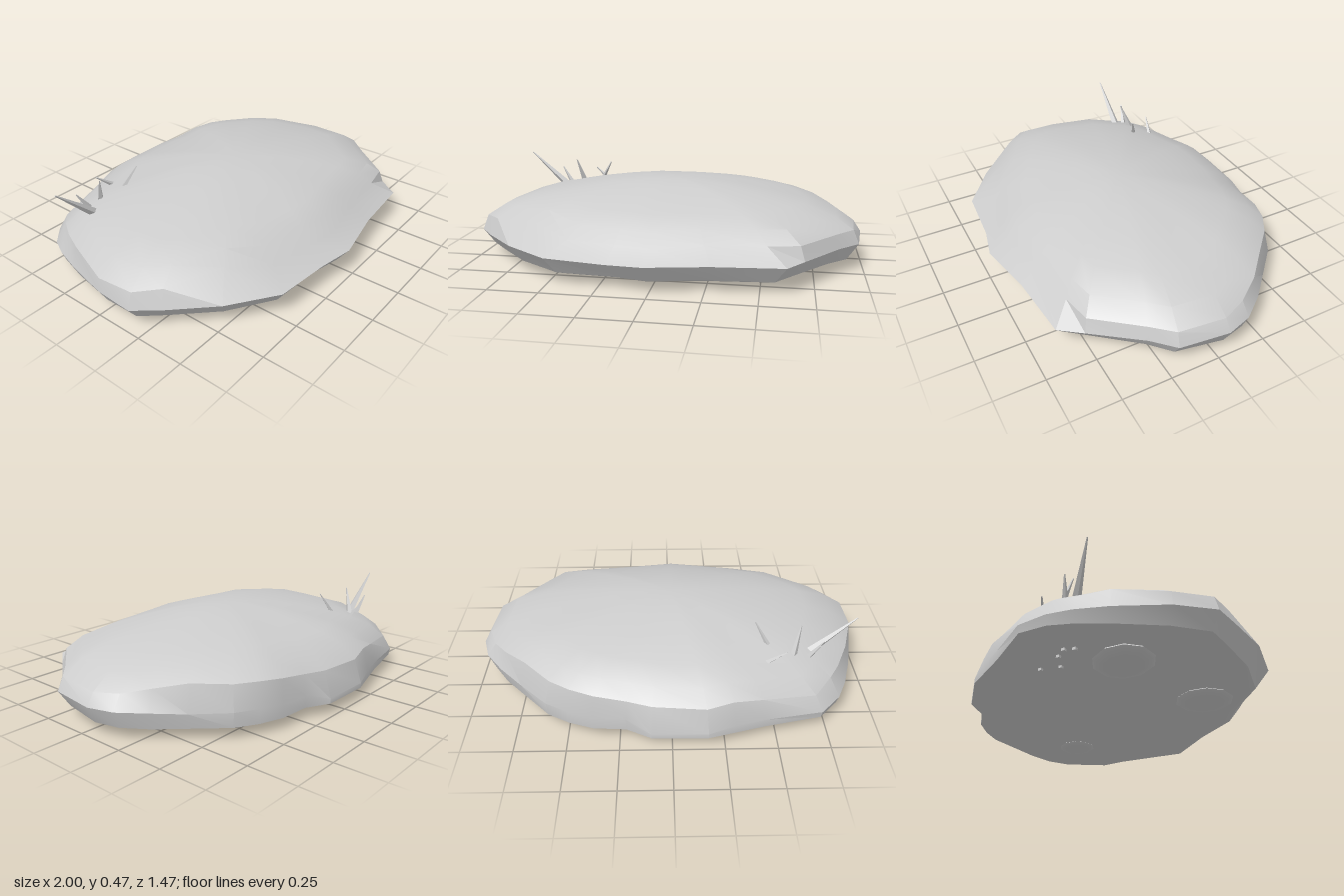
import * as THREE from 'three';
import { toCreasedNormals } from 'three/addons/utils/BufferGeometryUtils.js';

const stone = new THREE.MeshStandardMaterial({ color: 0xcccccc });
stone.name = 'paleGrey';

// Rim of the rock: x, z, rim height, shoulder scale, shoulder height
const RIM = [
  [-0.17, -0.735, 0.08, 0.95, 0.2], [0.1, -0.73, 0.08, 0.94, 0.21], [0.22, -0.67, 0.12, 0.98, 0.22],
  [0.38, -0.66, 0.12, 0.97, 0.24], [0.5, -0.62, 0.13, 0.97, 0.25], [0.61, -0.56, 0.13, 0.96, 0.25],
  [0.75, -0.42, 0.13, 0.96, 0.26], [0.87, -0.3, 0.14, 0.96, 0.24], [0.96, -0.18, 0.14, 0.95, 0.21],
  [1, -0.05, 0.14, 0.96, 0.2], [0.97, 0.2, 0.14, 0.97, 0.21], [0.87, 0.3, 0.14, 0.98, 0.21],
  [0.7, 0.53, 0.14, 0.97, 0.21], [0.62, 0.64, 0.14, 0.85, 0.21], [0.28, 0.67, 0.14, 0.86, 0.21],
  [-0.02, 0.73, 0.14, 0.86, 0.2], [-0.2, 0.69, 0.13, 0.87, 0.2], [-0.5, 0.67, 0.14, 0.83, 0.2],
  [-0.73, 0.51, 0.14, 0.85, 0.25], [-0.91, 0.31, 0.13, 0.96, 0.22], [-1, 0.2, 0.13, 0.97, 0.21],
  [-0.99, 0, 0.13, 0.99, 0.2], [-0.93, -0.25, 0.12, 0.97, 0.22], [-0.88, -0.4, 0.11, 0.95, 0.2],
  [-0.83, -0.5, 0.1, 0.94, 0.2], [-0.73, -0.6, 0.09, 0.95, 0.17], [-0.45, -0.66, 0.1, 0.96, 0.2],
  [-0.3, -0.7, 0.1, 0.96, 0.22],
];
// Dome: fraction of the shoulder radius, fraction of the remaining height
const DOME = [[0.9, 0.3], [0.74, 0.54], [0.55, 0.72], [0.33, 0.9], [0.15, 0.98], [0, 1]];
const TOP = 0.418;

// Rock built from closed rings, underside first
function rockGeometry() {
  const rings = [
    RIM.map(() => [0, 0.033, 0]),
    RIM.map(([x, z]) => [x * 0.85, 0.037, z * 0.85]),
    RIM.map(([x, z]) => {
      const s = 0.955 - 0.06 * z;
      return [x * s, 0.055, z * s];
    }),
    RIM.map(([x, z, y]) => [x, y, z]),
    RIM.map(([x, z, , s, y]) => [x * s, y, z * s]),
    ...DOME.map(([t, f]) => RIM.map(([x, z, , s, y]) => [x * s * t, y + (TOP - y) * f, z * s * t])),
  ];
  const n = RIM.length, index = [];
  for (let k = 0; k < rings.length - 1; k++) {
    for (let i = 0; i < n; i++) {
      const j = (i + 1) % n;
      const a = k * n + i, b = k * n + j, c = b + n, d = a + n;
      if (k < rings.length - 2) index.push(a, d, c);
      if (k > 0) index.push(a, c, b);
      else if (k === rings.length - 2) index.push(a, c, b);
    }
  }
  const g = new THREE.BufferGeometry();
  g.setAttribute('position', new THREE.Float32BufferAttribute(rings.flat(2), 3));
  g.setIndex(index);
  return toCreasedNormals(g, 0.42);
}

// Tapered four-sided rod between two points
function rod(name, from, to, r0, r1) {
  const a = new THREE.Vector3(...from), b = new THREE.Vector3(...to);
  const dir = b.clone().sub(a);
  const g = toCreasedNormals(new THREE.CylinderGeometry(r1, r0, dir.length(), 4), 0.4);
  const m = new THREE.Mesh(g, stone);
  m.name = name;
  m.position.copy(a).add(b).multiplyScalar(0.5);
  m.quaternion.setFromUnitVectors(new THREE.Vector3(0, 1, 0), dir.normalize());
  return m;
}

// Shallow bump under the rock
function foot(x, z, rx, rz, bottom) {
  const h = 0.042 - bottom;
  const profile = [[0, 0], [0.62, 0.004], [0.92, h * 0.4], [1, h * 0.65], [0.9, h]]
    .map(([r, y]) => new THREE.Vector2(r, y));
  const m = new THREE.Mesh(toCreasedNormals(new THREE.LatheGeometry(profile, 10), 0.4), stone);
  m.name = 'foot';
  m.scale.set(rx, 1, rz);
  m.position.set(x, bottom, z);
  return m;
}

export function createModel() {
  const model = new THREE.Group();
  model.name = 'flatRock';

  const rock = new THREE.Mesh(rockGeometry(), stone);
  rock.name = 'rock';
  model.add(rock);

  // Three low feet
  model.add(
    foot(-0.63, -0.11, 0.17, 0.145, 0),
    foot(-0.31, 0.4, 0.15, 0.145, 0.008),
    foot(0.56, -0.07, 0.11, 0.1, 0.018),
  );

  // Grass blades, with root ends showing below
  const grass = new THREE.Group();
  grass.name = 'grass';
  const blades = [
    [[-0.69, 0.27, -0.345], [-0.905, 0.465, -0.345], 0.022],
    [[-0.67, 0.26, -0.39], [-0.74, 0.37, -0.41], 0.017],
    [[-0.6, 0.28, -0.4], [-0.635, 0.425, -0.35], 0.018],
    [[-0.45, 0.28, -0.455], [-0.55, 0.36, -0.48], 0.014],
    [[-0.5, 0.28, -0.37], [-0.415, 0.425, -0.315], 0.016],
  ];
  for (const [base, tip, r] of blades) {
    grass.add(rod('blade', base, tip, r, 0.003));
    grass.add(rod('root', [base[0], 0.024, base[2]], base, 0.012, r));
  }
  model.add(grass);
  return model;
}
